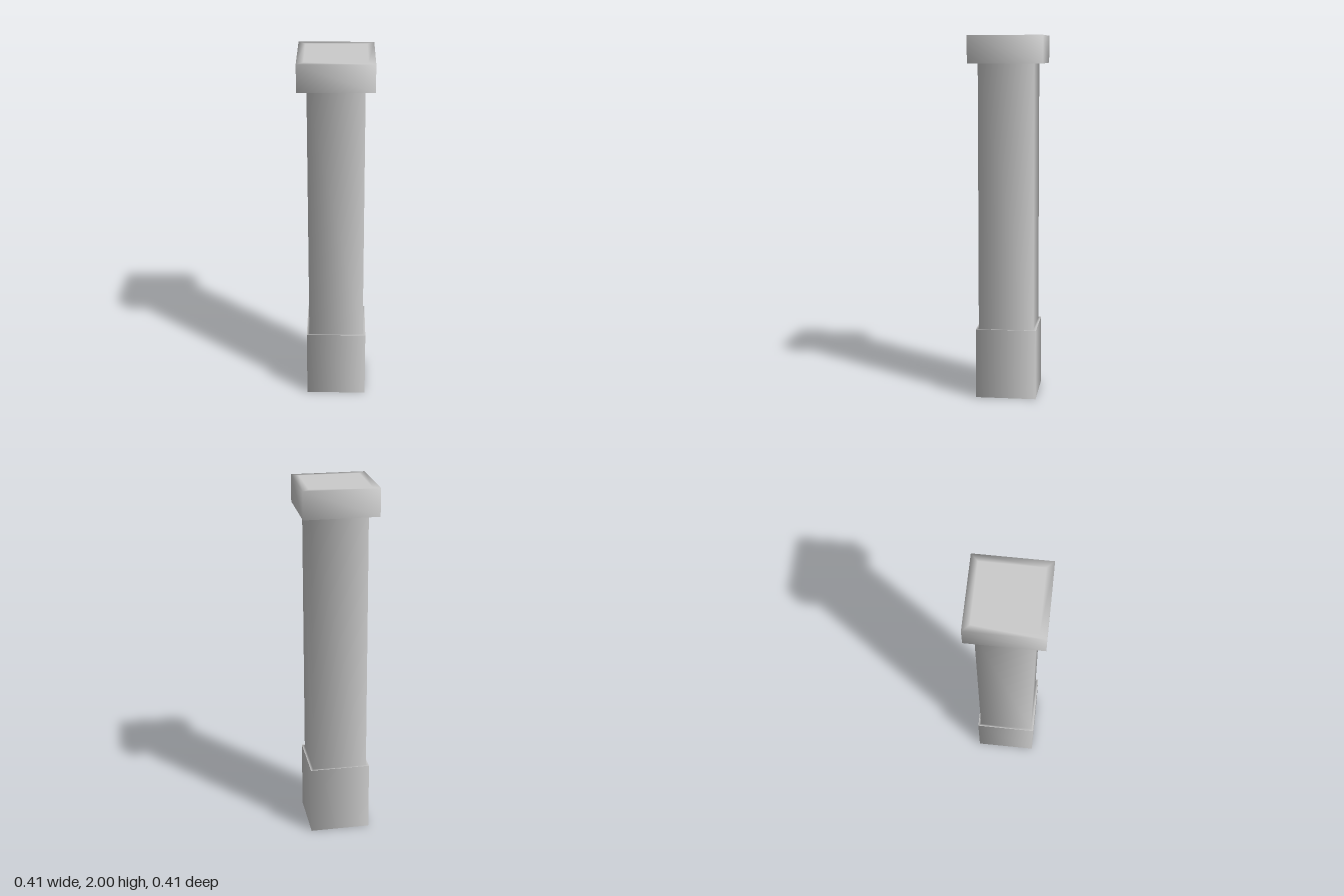
import * as THREE from 'three';

const material = new THREE.MeshStandardMaterial({ color: 0xcccccc });

// Square, softly shaded section: profile points are [half width, height], bottom to top
function squareSection(name, profile) {
  const points = profile.map(([half, y]) => new THREE.Vector2(half * Math.SQRT2, y));
  const mesh = new THREE.Mesh(new THREE.LatheGeometry(points, 4, Math.PI / 4), material);
  mesh.name = name;
  return mesh;
}

export function createModel() {
  const group = new THREE.Group();
  group.name = 'pillar';

  const baseHalf = 0.167, shaftHalf = 0.152, capHalf = 0.203;
  const baseTop = 0.39, capBottom = 1.85, top = 2;

  // Plinth block
  group.add(squareSection('base', [[baseHalf, 0], [baseHalf, baseTop]]));

  // Shaft, with the ledge on the base and the underside of the capital
  group.add(squareSection('shaft', [
    [baseHalf, baseTop], [shaftHalf, baseTop], [shaftHalf, capBottom], [capHalf, capBottom],
  ]));

  // Capital with a soft rim around its flat top
  group.add(squareSection('capital', [
    [capHalf, capBottom], [capHalf, top], [0.165, top], [0, top],
  ]));

  // Flat underside
  const underside = new THREE.Mesh(new THREE.PlaneGeometry(baseHalf * 2, baseHalf * 2), material);
  underside.name = 'underside';
  underside.rotation.x = Math.PI / 2;
  group.add(underside);

  return group;
}
